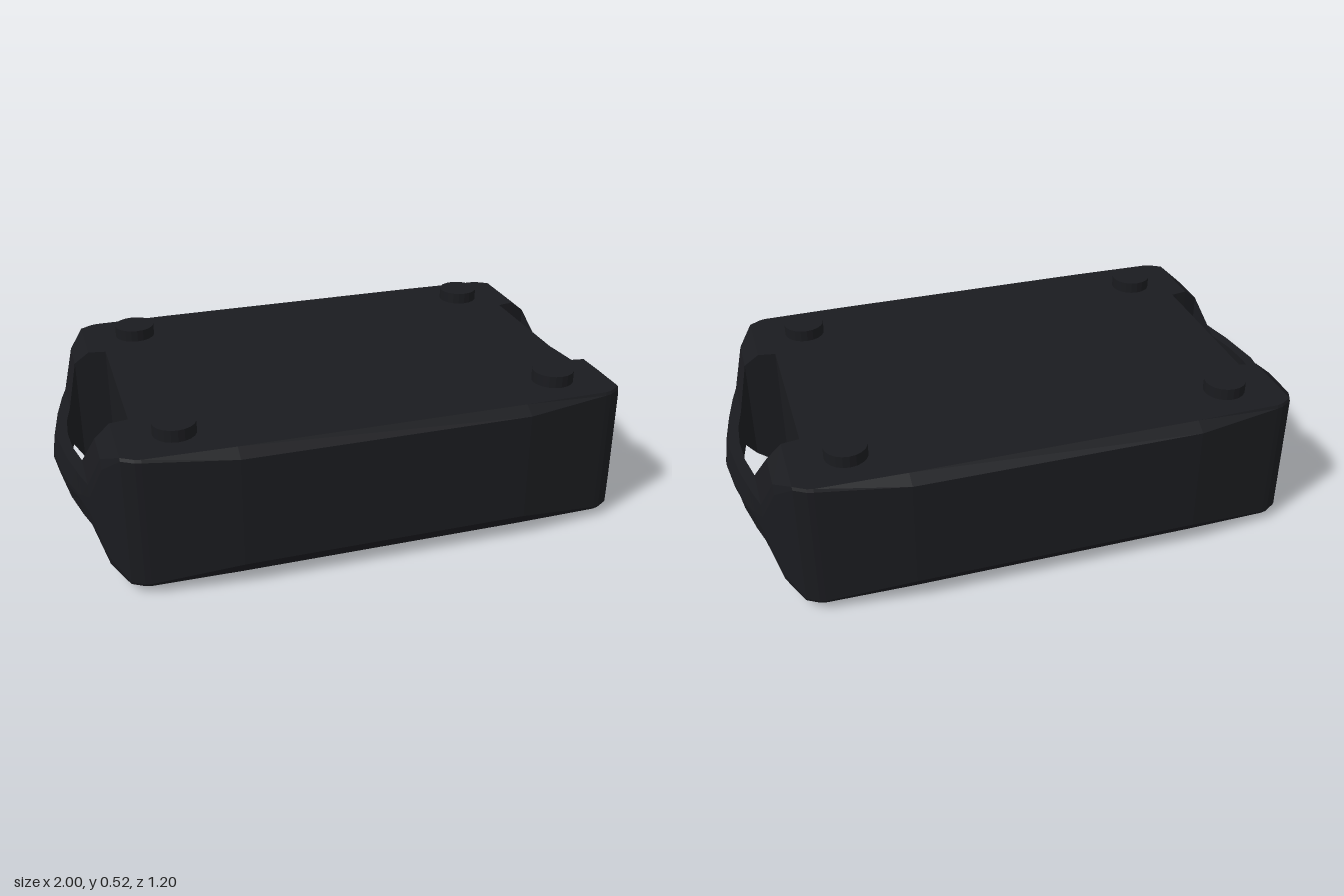
import * as THREE from 'three';

const material = new THREE.MeshStandardMaterial({ color: 0x1a1b1f, flatShading: true });

// Skin a row of equal-length rings along x, with flat caps at both ends.
function loft(rings, flip = false) {
  const out = [];
  const tri = (a, b, c) => out.push(...a, ...(flip ? c : b), ...(flip ? b : c));
  const n = rings[0].length;
  for (let i = 0; i < rings.length - 1; i++) {
    for (let j = 0; j < n; j++) {
      const k = (j + 1) % n;
      const [a, b, c, d] = [rings[i][j], rings[i][k], rings[i + 1][k], rings[i + 1][j]];
      tri(a, b, c);
      tri(a, c, d);
    }
  }
  const first = rings[0], last = rings[rings.length - 1];
  for (let j = 1; j < n - 1; j++) {
    tri(first[0], first[j + 1], first[j]);
    tri(last[0], last[j], last[j + 1]);
  }
  const g = new THREE.BufferGeometry();
  g.setAttribute('position', new THREE.Float32BufferAttribute(out, 3));
  g.computeVertexNormals();
  return g;
}

// Cross-section of the main case: half width at the flats and at the side walls.
function caseRing(x, flat, wall, low, high) {
  return [
    [x, 0.03, -flat], [x, low, -wall], [x, high, -wall], [x, 0.48, -flat],
    [x, 0.48, flat], [x, high, wall], [x, low, wall], [x, 0.03, flat],
  ];
}

// Corner and handle stations: x, inner z, flat z, outer z, bottom, top, bevel
const armStations = [
  [0.77, 0.28, 0.555, 0.56, 0.03, 0.48, 0.01],
  [0.79, 0.284, 0.55, 0.555, 0.03, 0.48, 0.01],
  [0.83, 0.29, 0.525, 0.53, 0.03, 0.48, 0.01],
  [0.88, 0.3, 0.44, 0.455, 0.06, 0.44, 0.03],
  [0.92, 0.2, 0.365, 0.375, 0.17, 0.315, 0.04],
  [0.94, 0.1, 0.29, 0.315, 0.17, 0.315, 0.06],
  [0.946, 0, 0.26, 0.3, 0.17, 0.315, 0.065],
  [0.965, 0, 0.17, 0.235, 0.17, 0.315, 0.065],
  [0.985, 0, 0, 0.14, 0.17, 0.315, 0.065],
  [1, 0, 0, 0, 0.235, 0.25, 0],
];

export function createModel() {
  const group = new THREE.Group();
  const add = (name, geometry, x = 0, y = 0, z = 0) => {
    const mesh = new THREE.Mesh(geometry, material);
    mesh.name = name;
    mesh.position.set(x, y, z);
    group.add(mesh);
  };

  // Main case with chamfers that fade towards the corners
  add('case', loft([
    caseRing(-0.77, 0.555, 0.56, 0.04, 0.47),
    caseRing(-0.48, 0.56, 0.6, 0.08, 0.455),
    caseRing(0.48, 0.56, 0.6, 0.08, 0.455),
    caseRing(0.77, 0.555, 0.56, 0.04, 0.47),
  ]));

  for (const sx of [-1, 1]) {
    for (const sz of [-1, 1]) {
      // Quarter of the end: corner block thinning into half of a curved handle
      const rings = armStations.map(([x, inner, flat, outer, low, high, bevel]) => [
        [inner, low], [inner, high], [flat, high],
        [outer, high - bevel], [outer, low + bevel], [flat, low],
      ].map(([z, y]) => [sx * x, y, sz * z]));
      add('cornerAndHandle', loft(rings, sx * sz < 0));

      // Round stud on the top
      add('topStud', new THREE.CylinderGeometry(0.07, 0.07, 0.06, 20), sx * 0.645, 0.49, sz * 0.41);
    }
  }

  // Round pad under the case
  add('bottomPad', new THREE.CylinderGeometry(0.155, 0.155, 0.05, 32), 0, 0.025, 0);
  return group;
}
